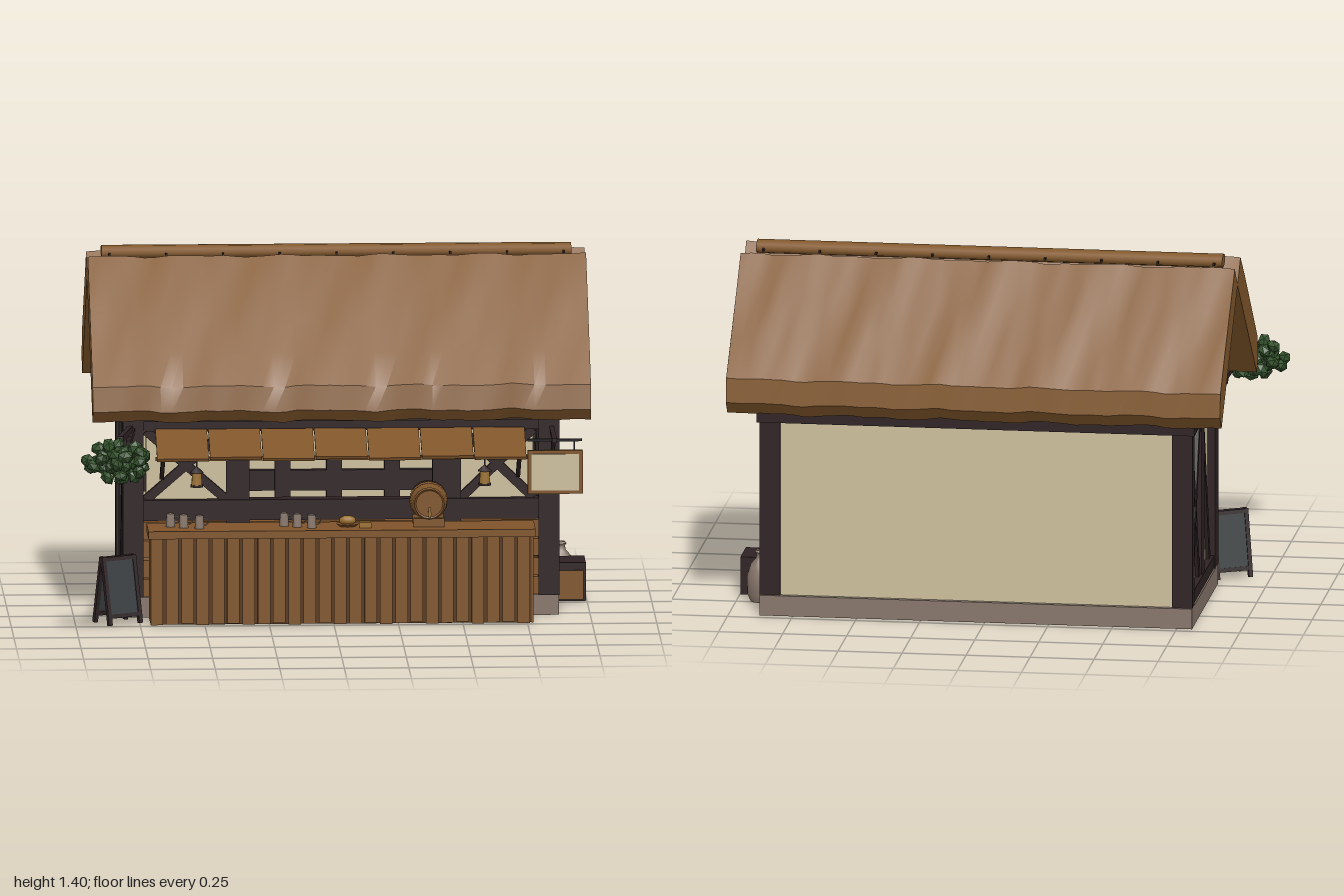
import * as THREE from 'three';
import { toCreasedNormals } from 'three/addons/utils/BufferGeometryUtils.js';

const mat = (name, color, extra = {}) => {
  const m = new THREE.MeshStandardMaterial({ color, ...extra });
  m.name = name;
  return m;
};

export function createModel() {
  const M = {
    thatch: mat('thatch', 0x83592d),
    wood: mat('wood', 0x7f542a),
    groove: mat('groove wood', 0x543619),
    timber: mat('dark timber', 0x2e2224),
    plaster: mat('plaster', 0xcdbf9d),
    stone: mat('stone', 0x87766a),
    leaf: mat('leaves', 0x34522c),
    slate: mat('slate', 0x383c3e),
    iron: mat('iron', 0x1f1d1e),
    brass: mat('brass', 0x9a6f30),
  };
  const root = new THREE.Group();
  root.name = 'marketTavern';
  const CX = 0.035, CZ = -0.325; // house centre

  const add = (name, geo, m, parent = root) => {
    const mesh = new THREE.Mesh(geo, m);
    mesh.name = name;
    parent.add(mesh);
    return mesh;
  };
  // Box given by its ranges
  const box = (name, m, x0, x1, y0, y1, z0, z1, parent = root) => {
    const b = add(name, new THREE.BoxGeometry(x1 - x0, y1 - y0, z1 - z0), m, parent);
    b.position.set((x0 + x1) / 2, (y0 + y1) / 2, (z0 + z1) / 2);
    return b;
  };
  // Square beam between two points
  const beam = (name, m, a, b, w, d = w, parent = root) => {
    const A = new THREE.Vector3(...a), B = new THREE.Vector3(...b);
    const s = add(name, new THREE.BoxGeometry(w, A.distanceTo(B), d), m, parent);
    s.position.copy(A).lerp(B, 0.5);
    s.quaternion.setFromUnitVectors(new THREE.Vector3(0, 1, 0), B.sub(A).normalize());
    return s;
  };
  const group = (name, x = 0, y = 0, z = 0, parent = root) => {
    const g = new THREE.Group();
    g.name = name;
    g.position.set(x, y, z);
    parent.add(g);
    return g;
  };
  const lathe = (pts, n) => toCreasedNormals(new THREE.LatheGeometry(pts.map(p => new THREE.Vector2(...p)), n), 0.7);
  // Shape drawn in (z, y), extruded along x from x0 to x1
  const extrudeX = (pts, x0, x1, steps = 1) => {
    const shape = new THREE.Shape(pts.map(([z, y]) => new THREE.Vector2(-z, y)));
    const g = new THREE.ExtrudeGeometry(shape, { depth: x1 - x0, steps, bevelEnabled: false });
    return g.rotateY(Math.PI / 2).translate(x0, 0, 0);
  };

  // Stone footing and floor
  box('footingFront', M.stone, -0.81, 0.88, 0, 0.08, -0.04, 0.04);
  box('footingBack', M.stone, -0.81, 0.88, 0, 0.08, -0.715, -0.64);
  for (const s of [-1, 1]) {
    box('footingSide', M.stone, CX + s * 0.81 - 0.035, CX + s * 0.81 + 0.035, 0, 0.078, -0.64, -0.04);
    box('floorEdge', M.wood, CX + s * 0.765 - 0.012, CX + s * 0.765 + 0.012, 0.01, 0.05, -0.64, -0.04);
  }
  for (let i = 0; i < 8; i++)
    box('floorPlank', M.timber, -0.74, 0.81, 0.05, 0.075, -0.64 + i * 0.075, -0.57 + i * 0.075);
  for (const z of [-0.63, -0.05]) box('floorJoist', M.wood, -0.74, 0.81, 0.01, 0.05, z - 0.012, z + 0.012);
  box('middleJoist', M.wood, CX - 0.015, CX + 0.015, 0.01, 0.05, -0.63, -0.05);

  // Back wall with inner framing
  box('backWall', M.plaster, -0.77, 0.84, 0.08, 0.79, -0.695, -0.665);
  for (const x of [-0.38, -0.165, 0.035, 0.26, 0.46]) box('innerPost', M.timber, x - 0.03, x + 0.03, 0.08, 0.77, -0.665, -0.63);
  box('innerRail', M.timber, -0.75, 0.82, 0.38, 0.46, -0.665, -0.635);

  // Timber-framed side walls and gables
  for (const s of [-1, 1]) {
    const side = group(s > 0 ? 'leftSide' : 'rightSide');
    const at = d => CX + s * d;
    const bar = (n, y0, y1, z0, z1, d = 0.835) =>
      box(n, M.timber, Math.min(at(d), at(0.78)), Math.max(at(d), at(0.78)), y0, y1, z0, z1, side);
    box('sideWall', M.plaster, at(0.8) - 0.015, at(0.8) + 0.015, 0.08, 0.79, -0.69, 0.03, side);
    for (const [z0, z1] of [[-0.045, 0.055], [-0.705, -0.64]])
      box('cornerPost', M.timber, at(0.805) - 0.04, at(0.805) + 0.04, 0.08, 0.79, z0, z1, side);
    bar('middlePost', 0.1, 0.77, -0.322, -0.28);
    bar('middlePost', 0.1, 0.77, -0.365, -0.328);
    bar('backStud', 0.1, 0.77, -0.64, -0.6);
    bar('sillBeam', 0.08, 0.13, -0.64, -0.045, 0.84);
    bar('headBeam', 0.73, 0.77, -0.64, -0.045, 0.832);
    box('tieBeam', M.timber, at(0.82) - 0.035, at(0.82) + 0.035, 0.78, 0.83, -0.725, 0.065, side);
    const x = at(0.818);
    for (const [za, zb] of [[-0.08, -0.27], [-0.38, -0.59], [-0.59, -0.38]])
      beam('brace', M.timber, [x, 0.13, za], [x, 0.74, zb], 0.022 + (za === -0.59 ? 0.004 : 0), 0.035, side);
    add('gable', extrudeX([[0.03, 0.82], [-0.68, 0.82], [CZ, 1.16]], at(0.8) - 0.012, at(0.8) + 0.012), M.plaster, side);
    box('kingPost', M.timber, at(0.81) - 0.03, at(0.81) + 0.03, 0.82, 1.26, -0.345, -0.298, side);
    for (const z of [0.03, -0.68]) beam('rafter', M.timber, [at(0.81), 0.83, z], [at(0.81), 1.16, CZ + 0.002], 0.045, 0.028, side);
  }
  for (const z of [0.03, -0.69]) box('wallPlate', M.timber, -0.82, 0.89, 0.77, 0.825, z - 0.03, z + 0.03);

  // Front wall with its serving opening
  for (const [x0, x1] of [[-0.72, -0.41], [0.5, 0.78]]) {
    box('frontPanel', M.plaster, x0, x1, 0.44, 0.78, -0.01, 0.015);
    beam('frontBrace', M.timber, [x0, 0.46, 0.022], [x1, 0.73, 0.022], 0.035, 0.024);
    beam('frontBrace', M.timber, [x1, 0.46, 0.024], [x0, 0.73, 0.024], 0.035, 0.026);
  }
  for (const [x, w] of [[-0.365, 0.09], [0.445, 0.11]]) box('openingPost', M.timber, x - w / 2, x + w / 2, 0.08, 0.78, -0.02, 0.04);
  box('openingSill', M.timber, -0.74, 0.8, 0.38, 0.46, -0.02, 0.045);
  box('frontHead', M.timber, -0.74, 0.8, 0.73, 0.772, -0.02, 0.045);
  for (let i = 0; i < 4; i++) box('lowerBoard', M.wood, -0.74, 0.8, 0.08 + i * 0.075, 0.148 + i * 0.075, -0.01, 0.025 + (i % 2) * 0.008);

  // Thatched roof, gently wavy
  const wave = (x, k) => Math.sin(x * 17 + k) * 0.5 + Math.sin(x * 31 + k * 2.3) * 0.3 + Math.sin(x * 53 + k) * 0.2;
  const slopes = {
    frontThatch: [[CZ, 1.28], [0.23, 0.8], [0.268, 0.845], [0.25, 0.94], [0.13, 1.05], [0, 1.165], [-0.12, 1.27], [-0.24, 1.37]],
    backThatch: [[CZ + 0.005, 1.28], [-0.405, 1.365], [-0.55, 1.225], [-0.68, 1.1], [-0.82, 0.965], [-0.83, 0.87], [-0.785, 0.82]],
  };
  for (const [name, pts] of Object.entries(slopes)) {
    const g = extrudeX(pts, -0.935, 0.995, 44);
    const p = g.attributes.position;
    for (let i = 0; i < p.count; i++) {
      const x = p.getX(i), y = p.getY(i), z = p.getZ(i);
      p.setY(i, y + 0.007 * wave(x, z * 9));
      p.setZ(i, z + 0.005 * wave(x, y * 7 + 1));
    }
    add(name, toCreasedNormals(g, 0.6), M.thatch);
  }

  // Ridge roll and its pegs
  const ridge = add('ridgeRoll', new THREE.CylinderGeometry(0.045, 0.045, 1.82, 10), M.thatch);
  ridge.rotation.z = Math.PI / 2;
  ridge.scale.set(0.58, 1, 1);
  ridge.position.set(0.03, 1.375, -0.322);
  for (let i = 0; i < 9; i++) beam('ridgePeg', M.timber, [-0.85 + i * 0.22, 1.373, -0.258], [-0.85 + i * 0.22, 1.373, -0.386], 0.008);

  // Plank counter
  box('counterCore', M.groove, -0.705, 0.765, 0.005, 0.345, 0.07, 0.24);
  const n = 25, pw = 1.48 / n;
  for (let i = 0; i < n; i++) {
    const x = -0.71 + i * pw;
    box('counterPlank', M.wood, x, x + pw - 0.011, 0.004 + (i % 3) * 0.003, 0.345, 0.235, 0.247 + (i % 2) * 0.004);
  }
  for (const x of [-0.71, 0.765]) box('counterEnd', M.wood, x, x + 0.008, 0.004, 0.345, 0.066, 0.245);
  box('counterTop', M.wood, -0.72, 0.78, 0.345, 0.375, 0.065, 0.27);

  // Slatted awning over the opening
  for (let i = 0; i < 7; i++) {
    const x = -0.685 + i * 0.205;
    beam('awningBoard', M.wood, [x + 0.1, 0.735, 0.05], [x + 0.1, 0.65 + (i % 2) * 0.006, 0.245], 0.2, 0.012);
  }
  box('awningRail', M.wood, -0.69, 0.75, 0.645, 0.66, 0.215, 0.23);
  for (const x of [-0.66, 0.72]) beam('awningStrut', M.timber, [x, 0.55, 0.05], [x, 0.66, 0.21], 0.016);

  // Barrels: axis along z
  const barrelGeo = lathe([[0, -0.085], [0.058, -0.085], [0.07, -0.04], [0.075, 0], [0.07, 0.04], [0.058, 0.085], [0.052, 0.08], [0, 0.08]], 16);
  const barrel = (x, y, z, s) => {
    const g = group('barrel', x, y, z);
    g.scale.setScalar(s);
    add('staves', barrelGeo, M.wood, g).rotation.x = Math.PI / 2;
    for (const [o, r] of [[-0.075, 0.063], [-0.035, 0.0735], [0.035, 0.0735], [0.075, 0.063]]) {
      const h = add('hoop', new THREE.CylinderGeometry(r, r, 0.012, 16, 1, true), M.iron, g);
      h.rotation.x = Math.PI / 2;
      h.position.z = o;
    }
    return g;
  };
  const keg = barrel(0.37, 0.47, 0.145, 1);
  beam('tap', M.brass, [0, -0.035, 0.08], [0, -0.035, 0.115], 0.012, 0.012, keg);
  beam('tapHandle', M.brass, [0, -0.05, 0.107], [0, -0.01, 0.107], 0.009, 0.009, keg);
  for (const z of [0.09, 0.19]) box('kegCradle', M.wood, 0.31, 0.43, 0.375, 0.408, z - 0.012, z + 0.012);
  for (const x of [-0.45, -0.23, 0, 0.22]) barrel(x, 0.24, -0.42, 1.35);
  box('barrelRack', M.wood, -0.58, 0.35, 0.08, 0.15, -0.52, -0.32);

  // Mugs, plate and bread on the counter
  const mugGeo = lathe([[0, 0], [0.019, 0], [0.016, 0.052], [0.013, 0.052], [0.013, 0.04], [0, 0.04]], 10);
  [-0.63, -0.58, -0.52, -0.19, -0.14, -0.085].forEach((x, i) => {
    const g = group('mug', x, 0.375, 0.15 + (i % 3) * 0.025);
    add('cup', mugGeo, M.stone, g);
    const h = add('handle', new THREE.TorusGeometry(0.013, 0.003, 5, 10), M.stone, g);
    h.position.set(0.021, 0.027, 0);
  });
  add('plate', new THREE.CylinderGeometry(0.045, 0.032, 0.01, 14), M.wood).position.set(0.055, 0.381, 0.17);
  const bread = add('bread', new THREE.SphereGeometry(0.028, 10, 6), M.brass);
  bread.scale.set(1.2, 0.7, 0.9);
  bread.position.set(0.055, 0.398, 0.17);
  box('cheese', M.brass, 0.1, 0.145, 0.375, 0.398, 0.19, 0.22);

  // Hanging lanterns
  for (const x of [-0.53, 0.585]) {
    const g = group('lantern', x, 0.57, 0.2);
    add('lanternBody', new THREE.CylinderGeometry(0.02, 0.024, 0.05, 6), M.brass, g);
    add('lanternCap', new THREE.ConeGeometry(0.03, 0.025, 6), M.timber, g).position.y = 0.037;
    add('lanternBase', new THREE.CylinderGeometry(0.028, 0.028, 0.008, 6), M.timber, g).position.y = -0.028;
    beam('lanternHook', M.iron, [0, 0.04, 0], [0, 0.09, 0], 0.006, 0.006, g);
  }

  // Hanging sign on its bracket
  beam('signArm', M.timber, [0.85, 0.735, 0.03], [0.85, 0.735, 0.345], 0.018);
  beam('signBrace', M.timber, [0.85, 0.54, 0.05], [0.85, 0.73, 0.24], 0.016);
  beam('signRod', M.iron, [0.75, 0.72, 0.24], [0.96, 0.72, 0.24], 0.01);
  for (const x of [0.78, 0.93]) beam('signChain', M.iron, [x, 0.67, 0.24], [x, 0.72, 0.24], 0.005);
  box('signBoard', M.wood, 0.75, 0.963, 0.51, 0.68, 0.23, 0.25);
  for (const z of [0.228, 0.252]) box('signFace', M.plaster, 0.764, 0.949, 0.524, 0.666, z - 0.003, z + 0.003);

  // Pole with a bundle of leaves
  beam('bushPole', M.timber, [-0.78, 0.74, 0.03], [-0.845, 0.808, 0.68], 0.022);
  beam('poleArm', M.timber, [-0.77, 0.735, 0.03], [-0.8, 0.735, 0.34], 0.018);
  beam('poleBrace', M.timber, [-0.775, 0.54, 0.05], [-0.795, 0.74, 0.26], 0.016);
  const bush = group('leafBundle', -0.86, 0.73, 0.735);
  const leafGeo = new THREE.IcosahedronGeometry(0.034, 0);
  for (let i = 0; i < 38; i++) {
    const t = i * 2.4, v = 1 - 2 * (i + 0.5) / 38, r = Math.sqrt(1 - v * v);
    const k = i % 3 ? 1 : 0.6;
    const l = add('leafClump', leafGeo, M.leaf, bush);
    l.position.set(Math.cos(t) * r * 0.115 * k, v * 0.068 * k, Math.sin(t) * r * 0.06 * k);
    l.rotation.set(i, i * 1.7, i * 0.6);
    l.scale.set(1, 0.7, 0.8);
  }

  // Folding slate board
  const stand = group('slateStand', -0.835, 0, 0.165);
  stand.rotation.y = 0.5;
  for (const s of [-1, 1]) {
    const leafBoard = group('standLeaf', 0, 0.135, s * 0.03, stand);
    leafBoard.rotation.x = -s * 0.2;
    box('slatePanel', M.slate, -0.065, 0.065, -0.1, 0.12, -0.004, 0.004, leafBoard);
    for (const x of [-0.068, 0.068]) box('standStile', M.timber, x - 0.008, x + 0.008, -0.135, 0.132, -0.008, 0.008, leafBoard);
    for (const y of [-0.1, 0.122]) box('standRail', M.timber, -0.068, 0.068, y - 0.008, y + 0.008, -0.008, 0.008, leafBoard);
  }

  // Crate and jug beside the wall
  box('crate', M.timber, 0.872, 0.995, 0.005, 0.155, -0.41, -0.25);
  box('crateFront', M.wood, 0.88, 0.985, 0.012, 0.125, -0.25, -0.242);
  const jug = add('jug', lathe([[0, 0], [0.042, 0], [0.055, 0.03], [0.056, 0.1], [0.042, 0.145], [0.02, 0.17], [0.018, 0.185], [0.024, 0.195], [0.018, 0.202], [0, 0.2]], 16), M.stone);
  jug.position.set(0.905, 0, -0.475);

  return root;
}
